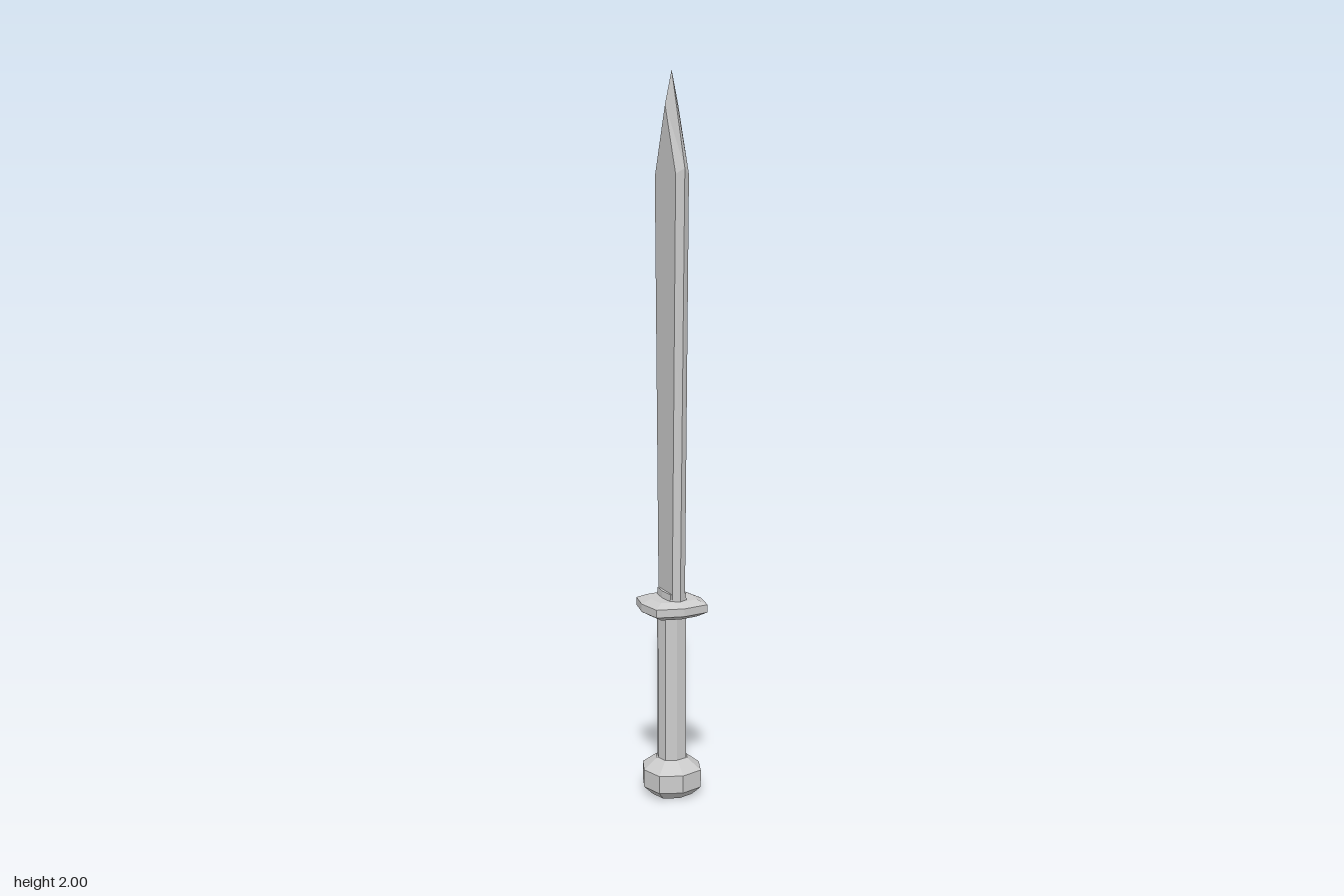
import * as THREE from 'three';

const material = new THREE.MeshStandardMaterial({ color: 0xcccccc, flatShading: true });

// Skins a stack of rings; each ring is a loop of [x, y, z] running from +x towards +z.
function loft(name, rings, capTop = true) {
  const pos = [];
  const tri = (a, b, c) => pos.push(...a, ...b, ...c);
  const n = rings[0].length;
  for (let r = 0; r < rings.length - 1; r++) {
    for (let i = 0; i < n; i++) {
      const j = (i + 1) % n;
      const a = rings[r][i], b = rings[r][j], c = rings[r + 1][j], d = rings[r + 1][i];
      tri(a, d, c);
      tri(a, c, b);
    }
  }
  const low = rings[0], top = rings[rings.length - 1];
  for (let i = 1; i < n - 1; i++) {
    tri(low[0], low[i], low[i + 1]);
    if (capTop) tri(top[0], top[i + 1], top[i]);
  }
  const geometry = new THREE.BufferGeometry();
  geometry.setAttribute('position', new THREE.Float32BufferAttribute(pos, 3));
  geometry.computeVertexNormals();
  const mesh = new THREE.Mesh(geometry, material);
  mesh.name = name;
  return mesh;
}

// Eight-sided ring: tips on the axes (rx, rz) and corners at (cx, cz).
const octagon = (y, rx, rz, cx, cz) => [
  [rx, y, 0], [cx, y, cz], [0, y, rz], [-cx, y, cz],
  [-rx, y, 0], [-cx, y, -cz], [0, y, -rz], [cx, y, -cz],
];

// Blade ring: flats at x = +-s with half-width f, cutting edges at z = +-w.
const bladeRing = (s, f, w, flatY, edgeY) => [
  [s, flatY, -f], [s, flatY, f], [0, edgeY, w],
  [-s, flatY, f], [-s, flatY, -f], [0, edgeY, -w],
];

export function createModel() {
  const model = new THREE.Group();
  model.name = 'sword';

  // Pommel: chamfered eight-sided knob
  const pommel = [[0, 0.058], [0.025, 0.084], [0.075, 0.084], [0.105, 0.045]];
  model.add(loft('pommel', pommel.map(([y, r]) => octagon(y, r, r, r * 0.75, r * 0.75))));

  // Grip
  model.add(loft('grip', [0.09, 0.53].map((y) => octagon(y, 0.04, 0.04, 0.031, 0.031))));

  // Guard: squarish plate, chamfered above and below
  const guard = [[0.52, 0.7], [0.535, 1], [0.557, 1], [0.569, 0.7]];
  model.add(loft('guard', guard.map(([y, k]) =>
    octagon(y, 0.09 * k, 0.092 * k, 0.076 * k, 0.076 * k))));

  // Collar around the root of the blade
  model.add(loft('collar', [
    octagon(0.56, 0.03, 0.056, 0.025, 0.049),
    octagon(0.588, 0.028, 0.054, 0.023, 0.047),
  ]));

  // Blade: widens upwards, then narrows to a bevelled point
  model.add(loft('blade', [
    bladeRing(0.019, 0.05, 0.062, 0.56, 0.56),
    bladeRing(0.019, 0.073, 0.09, 1.725, 1.74),
    bladeRing(0.019, 0, 0, 1.91, 2),
  ], false));

  return model;
}
